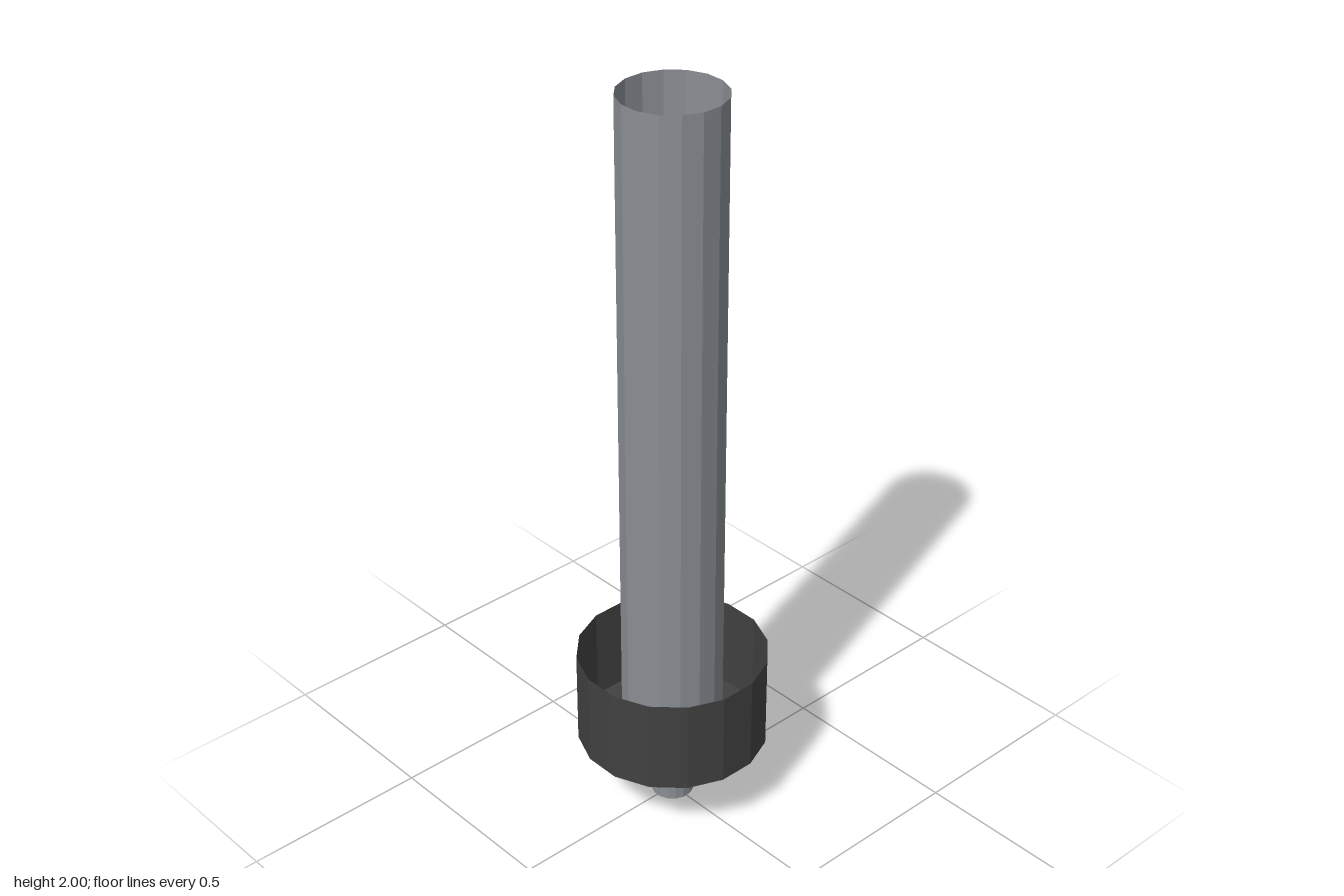
import * as THREE from 'three';

const SIDES = 16;

export function createModel() {
  const model = new THREE.Group();
  const material = (name, color) => {
    const m = new THREE.MeshStandardMaterial({ color, flatShading: true, side: THREE.DoubleSide });
    m.name = name;
    return m;
  };
  const steel = material('steel grey', 0x8a8f94);
  const dark = material('dark grey', 0x414141);

  const add = (name, geometry, mat, y) => {
    const mesh = new THREE.Mesh(geometry, mat);
    mesh.name = name;
    mesh.position.y = y;
    model.add(mesh);
  };

  // Thin open wall, turned so that flat sides face the axes
  const wall = (name, radius, bottom, top, mat) => {
    const geometry = new THREE.CylinderGeometry(radius, radius, top - bottom, SIDES, 1, true);
    geometry.rotateY(Math.PI / SIDES);
    add(name, geometry, mat, (bottom + top) / 2);
  };

  // Flat disc closing the lower end of a wall
  const floor = (name, radius, y, mat) => {
    const geometry = new THREE.CircleGeometry(radius, SIDES);
    geometry.rotateX(Math.PI / 2).rotateY(Math.PI / SIDES);
    add(name, geometry, mat, y);
  };

  // Long tube, open at the top, standing in the cup
  wall('tube', 0.134, 0.196, 2, steel);

  // Cup, open at the top
  wall('cupWall', 0.251, 0.196, 0.455, dark);
  floor('cupFloor', 0.251, 0.196, dark);

  // Short pin below the cup
  wall('pin', 0.056, 0, 0.196, steel);
  floor('pinEnd', 0.056, 0, steel);

  return model;
}
